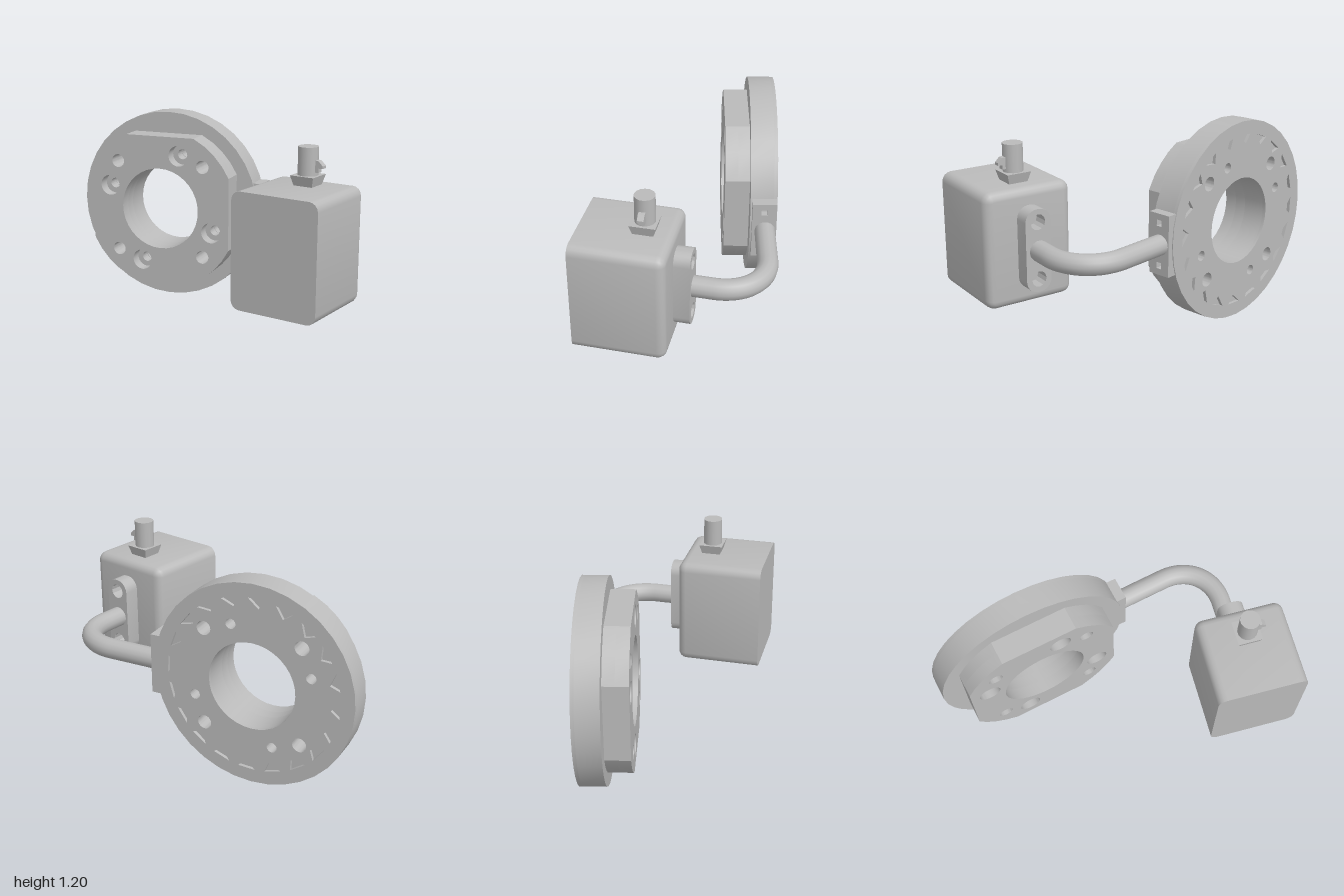
import * as THREE from 'three';
import { toCreasedNormals } from 'three/addons/utils/BufferGeometryUtils.js';

const metal = new THREE.MeshStandardMaterial({ color: 0xbababa });
metal.name = 'light grey';

const CX = -0.4, CY = 0.605;      // ring axis
const BORE = 0.26;
const rad = THREE.MathUtils.degToRad;

function add(parent, name, geometry, x = 0, y = 0, z = 0) {
  const mesh = new THREE.Mesh(geometry, metal);
  mesh.name = name;
  mesh.position.set(x, y, z);
  parent.add(mesh);
  return mesh;
}

function extrude(shape, depth, segments = 18, bevel = 0) {
  const geometry = new THREE.ExtrudeGeometry(shape, {
    depth: depth - 2 * bevel, curveSegments: segments, bevelEnabled: bevel > 0,
    bevelSize: bevel, bevelThickness: bevel, bevelOffset: -bevel, bevelSegments: 3,
  });
  if (bevel) geometry.translate(0, 0, bevel);
  return toCreasedNormals(geometry, 0.5);
}

function circle(r, x = 0, y = 0) {
  return new THREE.Path().absarc(x, y, r, 0, Math.PI * 2, true);
}

// Four holes at equal angles
function holeRing(shape, radius, holeRadius, startDeg) {
  for (let i = 0; i < 4; i++) {
    const a = rad(startDeg + 90 * i);
    shape.holes.push(circle(holeRadius, radius * Math.cos(a), radius * Math.sin(a)));
  }
}

function discShape(screwRadius) {
  const s = new THREE.Shape().absarc(0, 0, 0.6, 0, Math.PI * 2, false);
  s.holes.push(circle(BORE));
  holeRing(s, 0.41, 0.042, 45);
  holeRing(s, 0.37, screwRadius, 70);
  return s;
}

// Square plate whose corners are trimmed by a circle
function plateShape(screwRadius) {
  const pts = [];
  for (let q = 0; q < 4; q++) {
    for (let i = 0; i <= 4; i++) {
      const a = rad(90 * q + 26.4 + (37.2 * i) / 4);
      pts.push(new THREE.Vector2(0.519 * Math.cos(a), 0.519 * Math.sin(a)));
    }
  }
  const s = new THREE.Shape(pts);
  s.holes.push(circle(BORE));
  holeRing(s, 0.41, 0.042, 45);
  holeRing(s, 0.37, screwRadius, 70);
  return s;
}

// Points of a rounded rectangle, counter-clockwise
function roundedRect(w, h, r, steps = 4) {
  const pts = [];
  for (let q = 0; q < 4; q++) {
    const sx = q === 0 || q === 3 ? 1 : -1, sy = q < 2 ? 1 : -1;
    for (let i = 0; i <= steps; i++) {
      const a = (q + i / steps) * Math.PI / 2;
      pts.push(new THREE.Vector2(sx * (w / 2 - r) + r * Math.cos(a), sy * (h / 2 - r) + r * Math.sin(a)));
    }
  }
  return pts;
}

// Housing: rounded sections along z, softened at the back and square at the front
function housingGeometry(w, h, d) {
  const R = 0.05, rings = [];
  for (let i = 0; i <= 4; i++) {
    const a = (i / 4) * Math.PI / 2;
    const inset = R * (1 - Math.sin(a));
    rings.push([-d / 2 + R * (1 - Math.cos(a)), roundedRect(w - 2 * inset, h - 2 * inset, R - inset + 0.004)]);
  }
  rings.push([d / 2, roundedRect(w, h, R + 0.004)]);
  const pos = [], index = [], n = rings[0][1].length;
  for (const [z, pts] of rings) for (const p of pts) pos.push(p.x, p.y, z);
  for (let k = 0; k < rings.length - 1; k++) {
    for (let i = 0; i < n; i++) {
      const j = (i + 1) % n, a = k * n + i, b = k * n + j;
      index.push(a, b, b + n, a, b + n, a + n);
    }
  }
  const last = (rings.length - 1) * n;
  for (let i = 1; i < n - 1; i++) {
    index.push(0, i + 1, i);
    index.push(last, last + i, last + i + 1);
  }
  const g = new THREE.BufferGeometry();
  g.setAttribute('position', new THREE.Float32BufferAttribute(pos, 3));
  g.setIndex(index);
  return toCreasedNormals(g, 0.6);
}

function buildRing() {
  const ring = new THREE.Group();
  ring.name = 'mountingRing';
  ring.position.set(CX, CY, 0);

  // Back layer carries a circle of shallow wedge pockets
  const back = discShape(0.03);
  const teeth = 20;
  for (let i = 0; i < teeth; i++) {
    const a = (i / teeth) * Math.PI * 2 + 0.05;
    const corner = (r, t) => new THREE.Vector2(r * Math.cos(t), r * Math.sin(t));
    back.holes.push(new THREE.Path([corner(0.52, a - 0.1), corner(0.465, a + 0.03), corner(0.52, a + 0.1)]));
  }
  add(ring, 'ringBackLayer', extrude(back, 0.02), 0, 0, -0.575);
  add(ring, 'ringDisc', extrude(discShape(0.03), 0.135), 0, 0, -0.555);

  // Front plate with counterbored screw holes
  add(ring, 'frontPlateBase', extrude(plateShape(0.032), 0.07), 0, 0, -0.42);
  add(ring, 'frontPlateFace', extrude(plateShape(0.065), 0.075), 0, 0, -0.35);
  return ring;
}

function buildSensorBox() {
  const box = new THREE.Group();
  box.name = 'sensorBox';
  box.position.set(0.676, CY, 0.258);
  box.rotation.y = -0.22;
  add(box, 'housing', housingGeometry(0.535, 0.675, 0.525));
  add(box, 'bottomTab', new THREE.BoxGeometry(0.035, 0.012, 0.1), 0, -0.34, 0.08);

  // Rear flange with two screw holes
  const flange = new THREE.Shape(roundedRect(0.155, 0.48, 0.07, 5));
  for (const y of [-0.165, 0.165]) flange.holes.push(circle(0.045, 0, y));
  add(box, 'rearFlange', extrude(flange, 0.095, 6), 0, 0, -0.355);
  for (const y of [-0.165, 0.165]) {
    const screw = add(box, 'flangeScrew', new THREE.CylinderGeometry(0.028, 0.028, 0.03, 6), 0, y, -0.275);
    screw.rotation.x = Math.PI / 2;
  }

  // Top connector: flared square foot, round plug and latch
  const plug = new THREE.Group();
  plug.name = 'topConnector';
  plug.position.set(0.003, 0.335, -0.096);
  box.add(plug);
  const foot = new THREE.CylinderGeometry(0.103, 0.08, 0.06, 4, 1);
  foot.rotateY(Math.PI / 4);
  add(plug, 'connectorFoot', toCreasedNormals(foot, 0.3), 0, 0.03, 0);
  add(plug, 'connectorPlug', new THREE.CylinderGeometry(0.058, 0.058, 0.16, 14), 0, 0.14, 0);
  const latch = new THREE.Shape([[0.04, 0.08], [0.075, 0.08], [0.075, 0.105], [0.1, 0.105],
    [0.1, 0.12], [0.075, 0.145], [0.04, 0.15]].map(p => new THREE.Vector2(...p)));
  add(plug, 'connectorLatch', extrude(latch, 0.036), 0, 0, -0.018);
  return box;
}

export function createModel() {
  const model = new THREE.Group();
  model.name = 'ringMountedSensor';
  model.add(buildRing(), buildSensorBox());

  // Side bracket with two small square screw holes
  const bracket = new THREE.Shape([[-0.07, -0.18], [0.07, -0.18], [0.07, 0.18], [-0.07, 0.18]]
    .map(p => new THREE.Vector2(...p)));
  for (const y of [-0.125, 0.125]) {
    bracket.holes.push(new THREE.Path([[-0.018, y - 0.018], [-0.018, y + 0.018], [0.018, y + 0.018], [0.018, y - 0.018]]
      .map(p => new THREE.Vector2(...p))));
  }
  add(model, 'sideBracket', extrude(bracket, 0.06), 0.17, CY, -0.5).rotation.y = Math.PI / 2;

  // Bent arm from the bracket to the rear flange
  const v = (x, z) => new THREE.Vector3(x, CY, z);
  const path = new THREE.CurvePath();
  path.add(new THREE.LineCurve3(v(0.2, -0.505), v(0.53, -0.505)));
  path.add(new THREE.CubicBezierCurve3(v(0.53, -0.505), v(0.7, -0.505), v(0.812, -0.37), v(0.774, -0.2)));
  path.add(new THREE.LineCurve3(v(0.774, -0.2), v(0.745, -0.07)));
  add(model, 'bentArm', new THREE.TubeGeometry(path, 40, 0.06, 14, false));
  return model;
}
